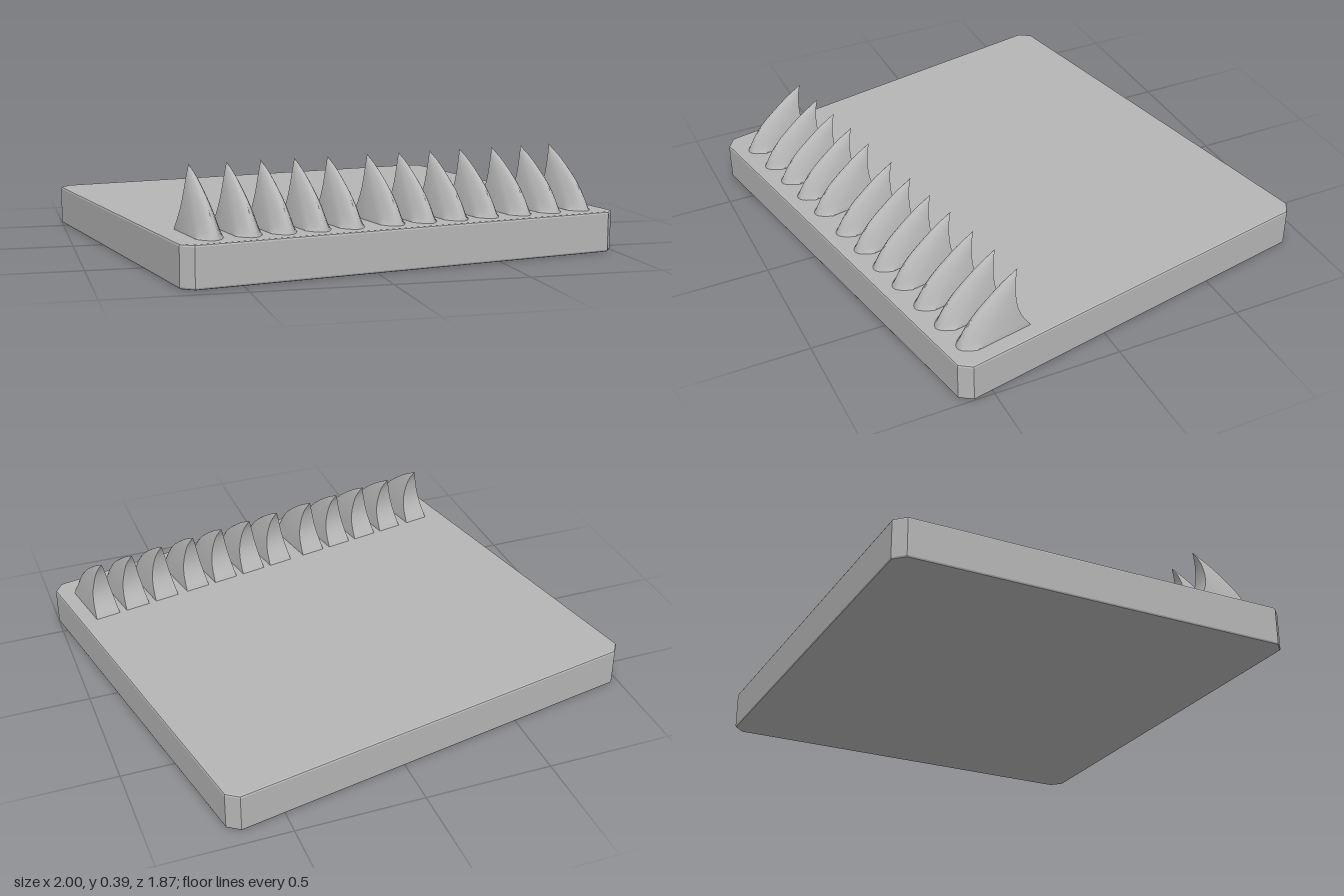
import * as THREE from 'three';
import { toCreasedNormals } from 'three/addons/utils/BufferGeometryUtils.js';

const SLAB_TOP = 0.155;

// Slab with cut corners and a slim bevel round the top and bottom edges
function slabGeometry() {
  const b = 0.008, x = 0.875 - b, z = 0.794 - b, c = 0.036;
  const shape = new THREE.Shape([
    [x, -z + c], [x, z - c], [x - c, z], [-x + c, z],
    [-x, z - c], [-x, -z + c], [-x + c, -z], [x - c, -z],
  ].map(([px, py]) => new THREE.Vector2(px, py)));
  const geo = new THREE.ExtrudeGeometry(shape, {
    depth: SLAB_TOP - 2 * b, bevelThickness: b, bevelSize: b, bevelSegments: 2,
  });
  return geo.translate(0, 0, b).rotateX(-Math.PI / 2);
}

// Claw with a flat concave back and a rounded front, curling back to a point
function clawGeometry() {
  // rows: height, half width, back z, front z
  const rows = [
    [0.145, 0.05, -0.004, 0.285], [0.16, 0.05, 0.004, 0.281], [0.215, 0.044, 0.037, 0.25],
    [0.27, 0.035, 0.051, 0.2], [0.34, 0.019, 0.045, 0.105], [0.388, 0, 0.024, 0.024],
  ];
  const spline = (pick) => new THREE.CatmullRomCurve3(rows.map(pick), false, 'catmullrom', 0.5);
  const backCurve = spline(([y, w, zb]) => new THREE.Vector3(w, y, zb));
  const frontCurve = spline(([y, , , zf]) => new THREE.Vector3(0, y, zf));
  const levels = 15, across = 10, n = across + 3;
  const pos = [], index = [];
  for (let i = 0; i <= levels; i++) {
    const t = i / levels;
    const { x: w, y, z: zb } = backCurve.getPoint(t);
    const zf = frontCurve.getPoint(t).z;
    const round = 0.8 * Math.pow(t, 0.8);
    pos.push(-w, y, zb);
    for (let j = 0; j <= across; j++) {
      const u = (2 * j) / across - 1;
      pos.push(w * u, y, zb + (zf - zb) * (1 - round * u * u));
    }
    pos.push(w, y, zb);
  }
  for (let i = 0; i < levels; i++) {
    for (let j = 0; j < n; j++) {
      const a = i * n + j, b = i * n + ((j + 1) % n);
      index.push(a, b, b + n, a, b + n, a + n);
    }
  }
  const geo = new THREE.BufferGeometry();
  geo.setAttribute('position', new THREE.Float32BufferAttribute(pos, 3));
  geo.setIndex(index);
  return toCreasedNormals(geo, 0.6);
}

export function createModel() {
  const grey = new THREE.MeshStandardMaterial({ color: 0xb6b6b6 });
  grey.name = 'plain grey';

  const model = new THREE.Group();
  model.name = 'clawedSlab';
  model.rotation.y = 0.187;

  const slab = new THREE.Mesh(slabGeometry(), grey);
  slab.name = 'slab';
  model.add(slab);

  // Row of claws along the front edge, in a group of five and a group of seven
  const claw = clawGeometry();
  const xs = [-0.743, -0.6, -0.468, -0.336, -0.203, -0.04, 0.092, 0.225, 0.357, 0.5, 0.632, 0.764];
  xs.forEach((x, i) => {
    const mesh = new THREE.Mesh(claw, grey);
    mesh.name = `claw${i + 1}`;
    mesh.position.set(x, 0, 0.463);
    model.add(mesh);
  });

  const root = new THREE.Group();
  root.add(model);
  return root;
}
